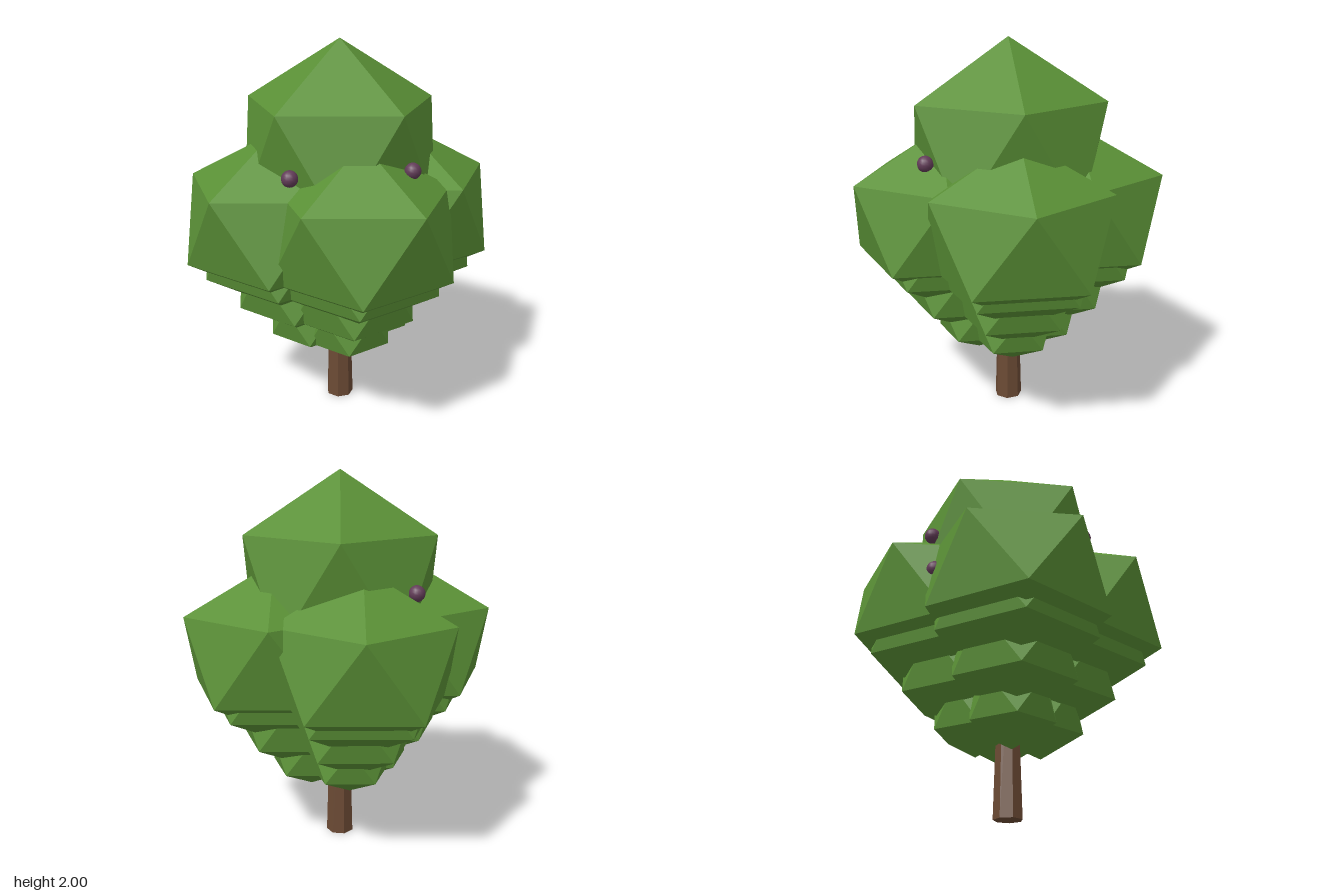
import * as THREE from 'three';

// Faceted 20-sided leaf clump with a point on top and two staggered five-sided rings
function clumpGeometry(radius, height) {
  const ring = (y, turn) => Array.from({ length: 5 }, (_, i) => {
    const a = (i * 2 * Math.PI) / 5 + turn;
    return [0.894 * radius * Math.cos(a), y * height, 0.894 * radius * Math.sin(a)];
  });
  const upper = ring(0.447, 0);
  const lower = ring(-0.447, Math.PI / 5);
  const top = [0, height, 0];
  const bottom = [0, -height, 0];
  const points = [];
  for (let i = 0; i < 5; i++) {
    const j = (i + 1) % 5;
    points.push(top, upper[j], upper[i]);
    points.push(upper[i], upper[j], lower[i]);
    points.push(upper[j], lower[j], lower[i]);
    points.push(bottom, lower[i], lower[j]);
  }
  const geometry = new THREE.BufferGeometry();
  geometry.setAttribute('position', new THREE.Float32BufferAttribute(points.flat(), 3));
  geometry.computeVertexNormals();
  return geometry;
}

export function createModel() {
  const tree = new THREE.Group();
  tree.name = 'tree';

  const material = (name, color, flatShading) => {
    const m = new THREE.MeshStandardMaterial({ color, flatShading });
    m.name = name;
    return m;
  };
  const leafGreen = material('leafGreen', 0x5a9036, true);
  const barkBrown = material('barkBrown', 0x6b4a34, true);
  const berryPurple = material('berryPurple', 0x623c58, false);

  const add = (parent, name, geometry, mat, x, y, z) => {
    const mesh = new THREE.Mesh(geometry, mat);
    mesh.name = name;
    mesh.position.set(x, y, z);
    parent.add(mesh);
    return mesh;
  };

  // Trunk: seven sides, slightly tapered, running up into the leaves
  const trunk = add(tree, 'trunk', new THREE.CylinderGeometry(0.045, 0.075, 1, 7), barkBrown, 0, 0.5, 0);
  trunk.rotation.y = Math.PI;

  // Crown
  add(tree, 'crownTop', clumpGeometry(0.57, 0.567), leafGreen, 0, 1.433, 0);

  // Tiers of four clumps, smaller and closer to the trunk going down
  const tiers = [
    { radius: 0.526, y: 1.089, offset: 0.35 },
    { radius: 0.468, y: 0.972, offset: 0.311 },
    { radius: 0.358, y: 0.744, offset: 0.239 },
    { radius: 0.247, y: 0.52, offset: 0.165 },
  ];
  tiers.forEach(({ radius, y, offset }, i) => {
    const tier = new THREE.Group();
    tier.name = `leafTier${i + 1}`;
    const geometry = clumpGeometry(radius, radius * 0.867);
    for (const [side, x, z] of [['Left', 1, 0], ['Right', -1, 0], ['Front', 0, 1], ['Back', 0, -1]]) {
      add(tier, `leafClump${side}`, geometry, leafGreen, x * offset, y, z * offset);
    }
    tree.add(tier);
  });

  // Berries resting between the clumps
  const berry = new THREE.SphereGeometry(0.041, 14, 10);
  const spots = [
    [-0.36, 1.4, 0.355],
    [0.225, 1.412, 0.443],
    [-0.25, 1.425, -0.428],
    [-0.41, 1.135, -0.41],
  ];
  spots.forEach((p, i) => add(tree, `berry${i + 1}`, berry, berryPurple, ...p));

  return tree;
}
